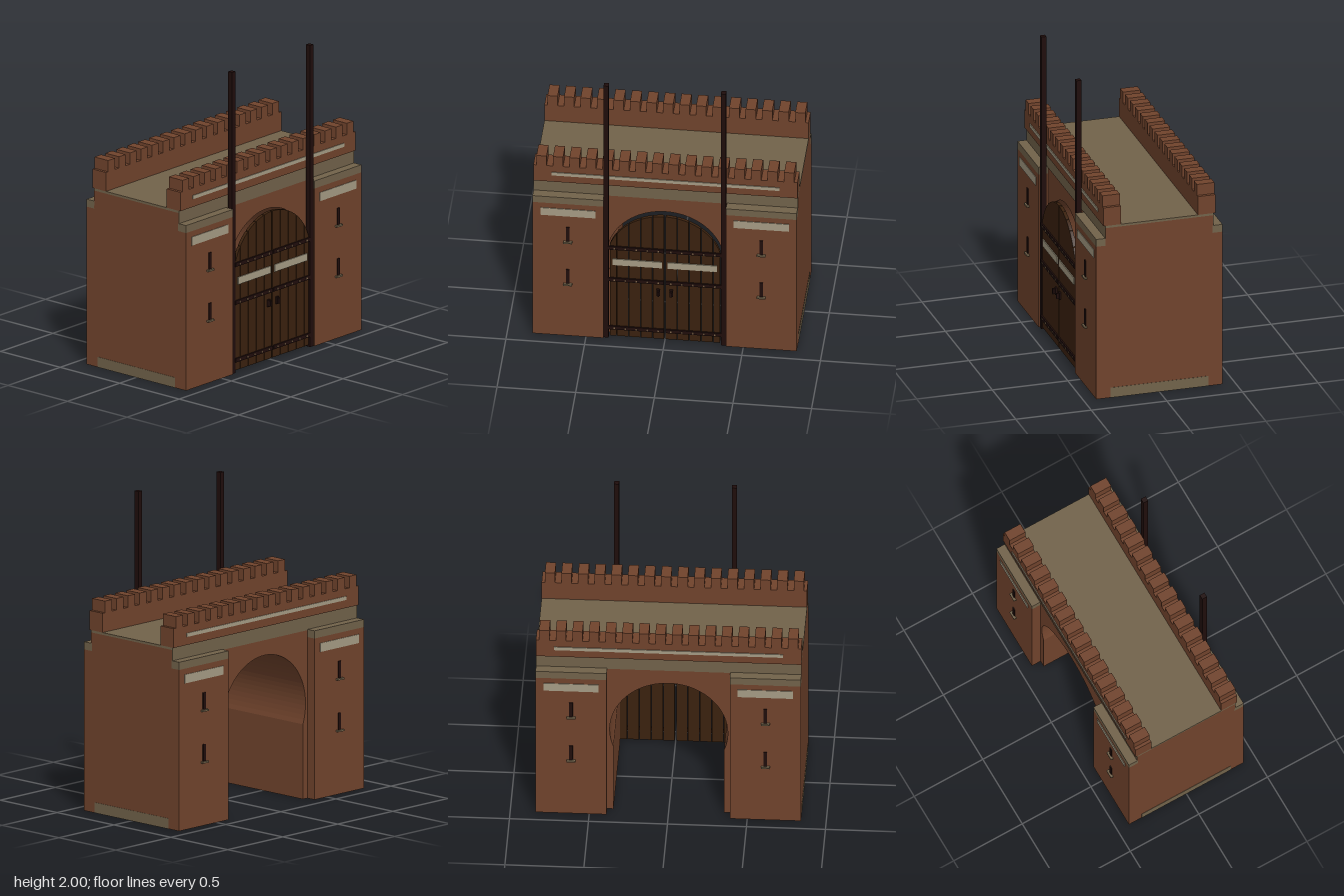
import * as THREE from 'three';

const mat = (name, color, opts = {}) => {
  const m = new THREE.MeshStandardMaterial({ color, ...opts });
  m.name = name;
  return m;
};

export function createModel() {
  const brick = mat('brick', 0x70432c);
  const stone = mat('stone', 0x71624a);
  const pale = mat('paleStone', 0xa59b84);
  const wood = mat('wood', 0x3a210e);
  const iron = mat('iron', 0x1f0d0b);
  const brass = mat('brass', 0x80664a);

  const root = new THREE.Group();
  root.name = 'gatehouse';

  const add = (name, geo, m, parent = root) => {
    const mesh = new THREE.Mesh(geo, m);
    mesh.name = name;
    parent.add(mesh);
    return mesh;
  };
  // box given by its min and max along each axis
  const box = (name, m, x0, x1, y0, y1, z0, z1, parent = root) => {
    const mesh = add(name, new THREE.BoxGeometry(Math.abs(x1 - x0), y1 - y0, Math.abs(z1 - z0)), m, parent);
    mesh.position.set((x0 + x1) / 2, (y0 + y1) / 2, (z0 + z1) / 2);
    return mesh;
  };

  const W = 0.84, BODY_Z = 0.355, TOWER_Z = 0.418, TOWER_X = 0.39;
  const ARCH_R = 0.374, ARCH_Y = 0.617, JAMB = 0.35;

  // main block with a horseshoe-arched passage
  const start = -Math.acos(JAMB / ARCH_R);
  const wall = new THREE.Shape();
  wall.moveTo(-W, 0);
  wall.lineTo(-JAMB, 0);
  const N = 48;
  for (let i = 0; i <= N; i++) {
    const a = Math.PI - start + (2 * start - Math.PI) * (i / N);
    wall.lineTo(ARCH_R * Math.cos(a), ARCH_Y + ARCH_R * Math.sin(a));
  }
  wall.lineTo(JAMB, 0);
  wall.lineTo(W, 0);
  wall.lineTo(W, 1.165);
  wall.lineTo(-W, 1.165);
  wall.closePath();
  add('mainWall', new THREE.ExtrudeGeometry(wall, { depth: 2 * BODY_Z, bevelEnabled: false }), brick)
    .position.z = -BODY_Z;
  box('roofSlab', stone, -W, W, 1.165, 1.18, -BODY_Z, BODY_Z);

  // front and back faces share the same dressing
  for (const f of [1, -1]) {
    const face = new THREE.Group();
    face.name = f > 0 ? 'frontFace' : 'backFace';
    root.add(face);

    box('corniceBand', stone, -W, W, 1.09, 1.18, f * BODY_Z, f * (BODY_Z + 0.003), face);

    // crenellated parapet
    box('parapet', brick, -W, W, 1.18, 1.305, f * 0.255, f * 0.37, face);
    for (let i = 0; i < 16; i++) {
      const x = -0.82 + i * 0.105;
      box('merlon', brick, x, x + 0.064, 1.305, 1.38, f * 0.255, f * 0.37, face);
    }
    box('parapetStrip', pale, -0.725, 0.725, 1.233, 1.257, f * 0.37, f * 0.375, face);

    for (const s of [1, -1]) {
      // projecting tower face with stone cap
      box('towerFace', brick, s * TOWER_X, s * W, 0, 1.045, f * BODY_Z, f * TOWER_Z, face);
      box('towerCap', stone, s * TOWER_X, s * W, 1.045, 1.095, f * 0.35, f * TOWER_Z, face);
      box('towerPanel', pale, s * 0.44, s * 0.79, 0.95, 1.007, f * TOWER_Z, f * (TOWER_Z + 0.004), face);
      // arrow slits with sills
      for (const y of [0.415, 0.75]) {
        box('arrowSlit', iron, s * 0.615 - 0.011, s * 0.615 + 0.011, y, y + 0.113,
          f * TOWER_Z, f * (TOWER_Z + 0.006), face);
        box('slitSill', stone, s * 0.615 - 0.028, s * 0.615 + 0.028, y - 0.008, y + 0.003,
          f * TOWER_Z, f * (TOWER_Z + 0.018), face);
      }
    }
  }

  // plinth patches on the outer sides
  for (const s of [1, -1]) {
    box('sidePlinth', stone, s * W, s * (W + 0.002), 0, 0.068, -0.325, 0.325);
  }

  // one plank whose top follows the arch
  const top = (x) => ARCH_Y + Math.sqrt((ARCH_R - 0.004) ** 2 - x * x);
  const plank = (a, b) => {
    const sh = new THREE.Shape();
    sh.moveTo(a, 0.015);
    sh.lineTo(b, 0.015);
    for (let i = 0; i <= 6; i++) {
      const x = b + (a - b) * (i / 6);
      sh.lineTo(x, top(x));
    }
    sh.closePath();
    return new THREE.ExtrudeGeometry(sh, { depth: 0.022, bevelEnabled: false });
  };

  // pair of door leaves
  const joints = [0.003, 0.078, 0.154, 0.23, 0.306, 0.352];
  for (const s of [1, -1]) {
    const leaf = new THREE.Group();
    leaf.name = s > 0 ? 'leftDoorLeaf' : 'rightDoorLeaf';
    root.add(leaf);
    for (let i = 0; i < joints.length - 1; i++) {
      const a = joints[i] + 0.002, b = joints[i + 1] - 0.002;
      add('plank', s > 0 ? plank(a, b) : plank(-b, -a), wood, leaf).position.z = 0.383;
    }
    // iron straps with bolts
    for (const y of [0.083, 0.466, 0.717]) {
      box('strap', iron, s * 0.006, s * 0.36, y - 0.013, y + 0.013, 0.405, 0.415, leaf);
      for (let i = 0; i < 5; i++) {
        const x = s * (0.04 + i * 0.07);
        box('bolt', brass, x - 0.005, x + 0.005, y - 0.005, y + 0.005, 0.415, 0.419, leaf);
      }
    }
    box('doorPanel', pale, s * 0.018, s * 0.332, 0.58, 0.628, 0.405, 0.411, leaf);
    // handle
    box('handlePlate', iron, s * 0.03, s * 0.052, 0.365, 0.412, 0.405, 0.418, leaf);
    box('handleGrip', iron, s * 0.034, s * 0.048, 0.37, 0.407, 0.418, 0.434, leaf);
    // tall post the leaf hangs on
    box('gatePost', iron, s * 0.357, s * 0.389, 0, 2, 0.376, 0.41);
  }

  return root;
}
